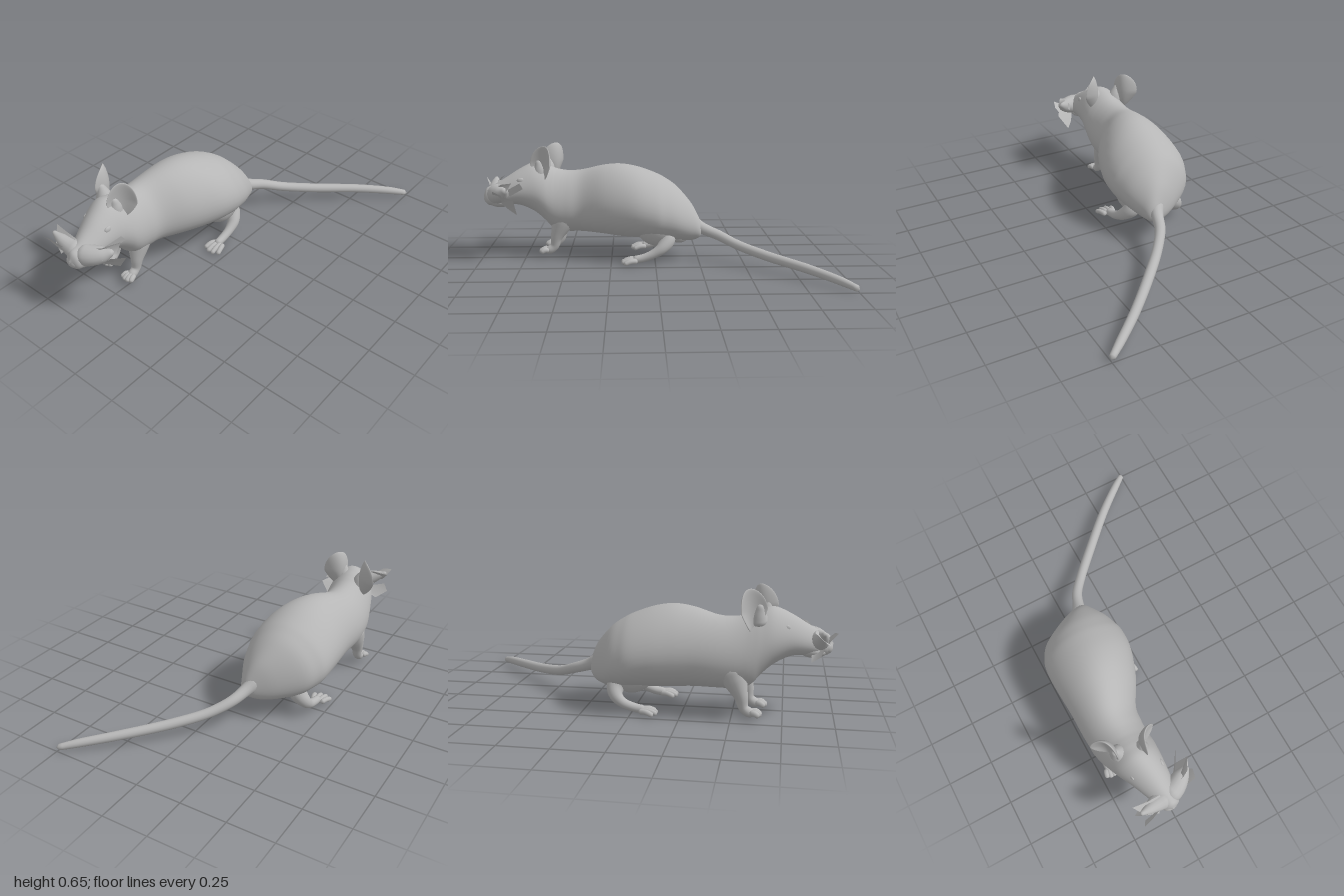
import * as THREE from 'three';
import { mergeVertices } from 'three/addons/utils/BufferGeometryUtils.js';

const V = (p) => new THREE.Vector3(...p);
const fur = new THREE.MeshStandardMaterial({ color: 0xb6b6b6, side: THREE.DoubleSide });
fur.name = 'grey fur';

function add(parent, name, geometry) {
  const mesh = new THREE.Mesh(geometry, fur);
  mesh.name = name;
  parent.add(mesh);
  return mesh;
}

function smooth(geometry) {
  geometry.deleteAttribute('uv');
  geometry.deleteAttribute('normal');
  const g = mergeVertices(geometry, 1e-5);
  g.computeVertexNormals();
  return g;
}

// Tube through [x, y, z, radius] points, rounded off at both ends
function taper(points, steps = 32, sides = 16) {
  const curve = new THREE.CatmullRomCurve3(points.map((p) => V(p.slice(0, 3))));
  const radii = new THREE.SplineCurve(points.map((p, i) => new THREE.Vector2(i, p[3])));
  const g = new THREE.TubeGeometry(curve, steps, 1, sides);
  const pos = g.attributes.position, v = new THREE.Vector3(), length = curve.getLength();
  for (let i = 0; i <= steps; i++) {
    const u = i / steps, c = curve.getPointAt(u);
    let r = radii.getPoint(curve.getUtoTmapping(u)).y;
    const end = Math.min(u, 1 - u) * length;
    if (end < r) r *= Math.sqrt(Math.max(0, 1 - (1 - end / r) ** 2));
    for (let j = 0; j <= sides; j++) {
      const k = i * (sides + 1) + j;
      v.fromBufferAttribute(pos, k).sub(c).multiplyScalar(r).add(c);
      pos.setXYZ(k, v.x, v.y, v.z);
    }
  }
  return smooth(g);
}

function blob(parent, name, at, size) {
  const mesh = add(parent, name, new THREE.SphereGeometry(1, 20, 14));
  mesh.position.set(...at);
  mesh.scale.set(...size);
  return mesh;
}

// Body and head: egg-shaped sections [z, centre x, half width, bottom, top]
const SECTIONS = [
  [-0.27, -0.17, 0.004, 0.18, 0.2], [-0.255, -0.175, 0.045, 0.14, 0.245],
  [-0.21, -0.212, 0.105, 0.115, 0.33], [-0.13, -0.253, 0.183, 0.11, 0.42],
  [-0.06, -0.266, 0.215, 0.112, 0.47],
  [0, -0.27, 0.231, 0.118, 0.5], [0.1, -0.275, 0.231, 0.125, 0.535],
  [0.2, -0.287, 0.215, 0.13, 0.55], [0.3, -0.305, 0.192, 0.14, 0.54],
  [0.42, -0.338, 0.158, 0.145, 0.51], [0.5, -0.342, 0.15, 0.145, 0.505],
  [0.56, -0.34, 0.145, 0.152, 0.515], [0.6, -0.336, 0.141, 0.175, 0.53],
  [0.64, -0.33, 0.135, 0.22, 0.545],
  [0.7, -0.322, 0.122, 0.272, 0.556], [0.78, -0.305, 0.1, 0.31, 0.52],
  [0.86, -0.29, 0.078, 0.315, 0.47], [0.92, -0.28, 0.06, 0.31, 0.435],
  [0.965, -0.275, 0.042, 0.32, 0.415], [0.985, -0.275, 0.003, 0.36, 0.375],
];

function bodyGeometry(steps = 90, sides = 40) {
  const path = new THREE.CatmullRomCurve3(SECTIONS.map((s) => V([s[1], (s[3] + s[4]) / 2, s[0]])), false, 'catmullrom');
  const size = new THREE.SplineCurve(SECTIONS.map((s) => new THREE.Vector2(s[2], (s[4] - s[3]) / 2)));
  const pos = [], index = [];
  for (let i = 0; i <= steps; i++) {
    const c = path.getPoint(i / steps), r = size.getPoint(i / steps);
    for (let j = 0; j < sides; j++) {
      const a = (j / sides) * Math.PI * 2;
      pos.push(c.x + r.x * Math.cos(a) * (1 - 0.18 * Math.sin(a)), c.y + r.y * Math.sin(a), c.z);
      if (i === steps) continue;
      const p = i * sides + j, q = i * sides + (j + 1) % sides;
      index.push(p, q, p + sides, q, q + sides, p + sides);
    }
  }
  const g = new THREE.BufferGeometry();
  g.setAttribute('position', new THREE.Float32BufferAttribute(pos, 3));
  g.setIndex(index);
  g.computeVertexNormals();
  return g;
}

// Cupped ear, narrow at the base
function earGeometry() {
  const g = new THREE.SphereGeometry(1, 32, 24), p = g.attributes.position;
  for (let i = 0; i < p.count; i++) {
    const a = p.getX(i), b = p.getY(i), c = p.getZ(i);
    p.setXYZ(i, a * 0.077 * (b < 0 ? 1 + 0.5 * b : 1), b * 0.106, c * 0.014 + 0.045 * (a * a + 0.3 * b * b) - 0.02);
  }
  return smooth(g);
}

// Thin sheet fanned from a root point to a rim
function fan(points) {
  const g = new THREE.BufferGeometry();
  g.setAttribute('position', new THREE.Float32BufferAttribute(points.flat(), 3));
  const index = [];
  for (let i = 1; i < points.length - 1; i++) index.push(0, i, i + 1);
  g.setIndex(index);
  g.computeVertexNormals();
  return g;
}

function toes(parent, name, x, y, z, length, spread, r) {
  for (let i = 0; i < 4; i++) {
    const k = i - 1.5, l = length * (1 - 0.08 * k * k);
    add(parent, name, taper([
      [x + k * spread * 0.5, y + 0.012, z, r], [x + k * spread * 0.8, y + 0.014, z + l * 0.5, r],
      [x + k * spread, y, z + l, r * 0.9]], 14, 10));
  }
}

export function createModel() {
  const model = new THREE.Group();
  model.name = 'rodent';
  add(model, 'body', bodyGeometry());

  // Tail, with a small swelling under its root
  add(model, 'tail', taper([
    [-0.205, 0.23, -0.19, 0.05], [-0.17, 0.19, -0.27, 0.034], [-0.135, 0.157, -0.36, 0.029],
    [-0.06, 0.118, -0.46, 0.027], [0.07, 0.088, -0.6, 0.027], [0.27, 0.063, -0.8, 0.025],
    [0.42, 0.042, -0.93, 0.022], [0.505, 0.025, -0.998, 0.016]], 64));
  blob(model, 'tailRootSwelling', [-0.23, 0.13, -0.14], [0.075, 0.035, 0.055]);

  for (const s of [-1, 1]) {
    const side = s > 0 ? 'left' : 'right';

    // Front leg and paw
    const fore = new THREE.Group();
    fore.name = side + 'FrontLeg';
    const fx = -0.35 + s * 0.09;
    add(fore, 'foreleg', taper([
      [fx - s * 0.025, 0.3, 0.5, 0.08], [fx - s * 0.01, 0.2, 0.54, 0.06],
      [fx, 0.125, 0.57, 0.035], [fx, 0.07, 0.583, 0.025], [fx, 0.048, 0.61, 0.025], [fx, 0.045, 0.64, 0.02]]));
    toes(fore, 'frontToe', fx, 0.035, 0.615, 0.058, 0.022, 0.015);
    if (s < 0) fore.position.z = -0.02;
    model.add(fore);

    // Hind leg, haunch and long foot; the right foot stands further back
    const hind = new THREE.Group();
    hind.name = side + 'HindLeg';
    const hx = -0.255 + s * 0.17, dz = s > 0 ? 0 : -0.055;
    blob(hind, 'haunch', [hx - s * 0.07, 0.215, -0.01], [0.08, 0.12, 0.12]);
    add(hind, 'shin', taper([
      [hx - s * 0.09, 0.19, -0.03, 0.06], [hx - s * 0.045, 0.135, -0.065 + dz / 3, 0.05],
      [hx - s * 0.01, 0.095, -0.04 + dz * 0.7, 0.035], [hx, 0.062, 0.01 + dz, 0.026],
      [hx, 0.038, 0.07 + dz, 0.023], [hx, 0.028, 0.13 + dz, 0.022]]));
    toes(hind, 'hindToe', hx + s * 0.006, 0.014, 0.1 + dz, 0.095, 0.031, 0.014);
    model.add(hind);

    // Ear, turned outwards, with a ridge joining it to the forehead
    const ear = add(model, side + 'Ear', earGeometry());
    ear.position.set(s > 0 ? -0.25 : -0.44, 0.55, s > 0 ? 0.64 : 0.59);
    ear.rotation.set(0, s * 0.9, -s * 0.1);
    add(model, side + 'EarRidge', taper(s > 0
      ? [[-0.29, 0.46, 0.66, 0.05], [-0.28, 0.52, 0.66, 0.036], [-0.275, 0.575, 0.668, 0.015]]
      : [[-0.385, 0.46, 0.63, 0.055], [-0.4, 0.52, 0.625, 0.038], [-0.417, 0.58, 0.63, 0.015]]));

    // Eye bulge
    blob(model, side + 'Eye', s > 0 ? [-0.226, 0.462, 0.765] : [-0.388, 0.462, 0.755], [0.01, 0.017, 0.022]);
  }

  // Nose and cheek pads
  blob(model, 'nose', [-0.28, 0.355, 0.955], [0.042, 0.035, 0.03]);
  blob(model, 'chin', [-0.285, 0.335, 0.89], [0.065, 0.035, 0.07]);
  add(model, 'leftCheekPad', taper([[-0.29, 0.38, 0.91, 0.06], [-0.23, 0.385, 0.9, 0.056], [-0.165, 0.4, 0.865, 0.042], [-0.115, 0.425, 0.835, 0.014]]));
  add(model, 'rightCheekPad', taper([[-0.27, 0.38, 0.91, 0.06], [-0.335, 0.4, 0.92, 0.046], [-0.39, 0.425, 0.93, 0.028], [-0.44, 0.45, 0.935, 0.009]]));

  // Whisker sheets: root first, then the rim
  const whiskers = {
    leftWhisker: [
      [[-0.24, 0.4, 0.92], [-0.22, 0.43, 0.9], [-0.13, 0.455, 0.86], [-0.1, 0.467, 0.8], [-0.105, 0.415, 0.83], [-0.14, 0.4, 0.88]],
      [[-0.22, 0.36, 0.92], [-0.11, 0.42, 0.91], [-0.095, 0.4, 0.86], [-0.12, 0.36, 0.84], [-0.21, 0.335, 0.88]],
      [[-0.22, 0.335, 0.88], [-0.12, 0.385, 0.85], [-0.083, 0.373, 0.79], [-0.146, 0.278, 0.78], [-0.19, 0.3, 0.83]],
      [[-0.2, 0.4, 0.86], [-0.14, 0.46, 0.76], [-0.13, 0.43, 0.74], [-0.18, 0.38, 0.82]],
    ],
    rightWhisker: [
      [[-0.31, 0.42, 0.93], [-0.31, 0.447, 0.9], [-0.38, 0.457, 0.9], [-0.46, 0.457, 0.89], [-0.41, 0.395, 0.95], [-0.35, 0.375, 0.97]],
      [[-0.32, 0.4, 0.95], [-0.4, 0.45, 0.985], [-0.45, 0.455, 0.998], [-0.43, 0.42, 0.97], [-0.36, 0.385, 0.96]],
      [[-0.33, 0.345, 0.92], [-0.38, 0.36, 0.93], [-0.43, 0.375, 0.94], [-0.46, 0.34, 0.92], [-0.405, 0.3, 0.88], [-0.34, 0.325, 0.88]],
    ],
  };
  for (const name in whiskers) for (const sheet of whiskers[name]) add(model, name, fan(sheet));

  return model;
}
